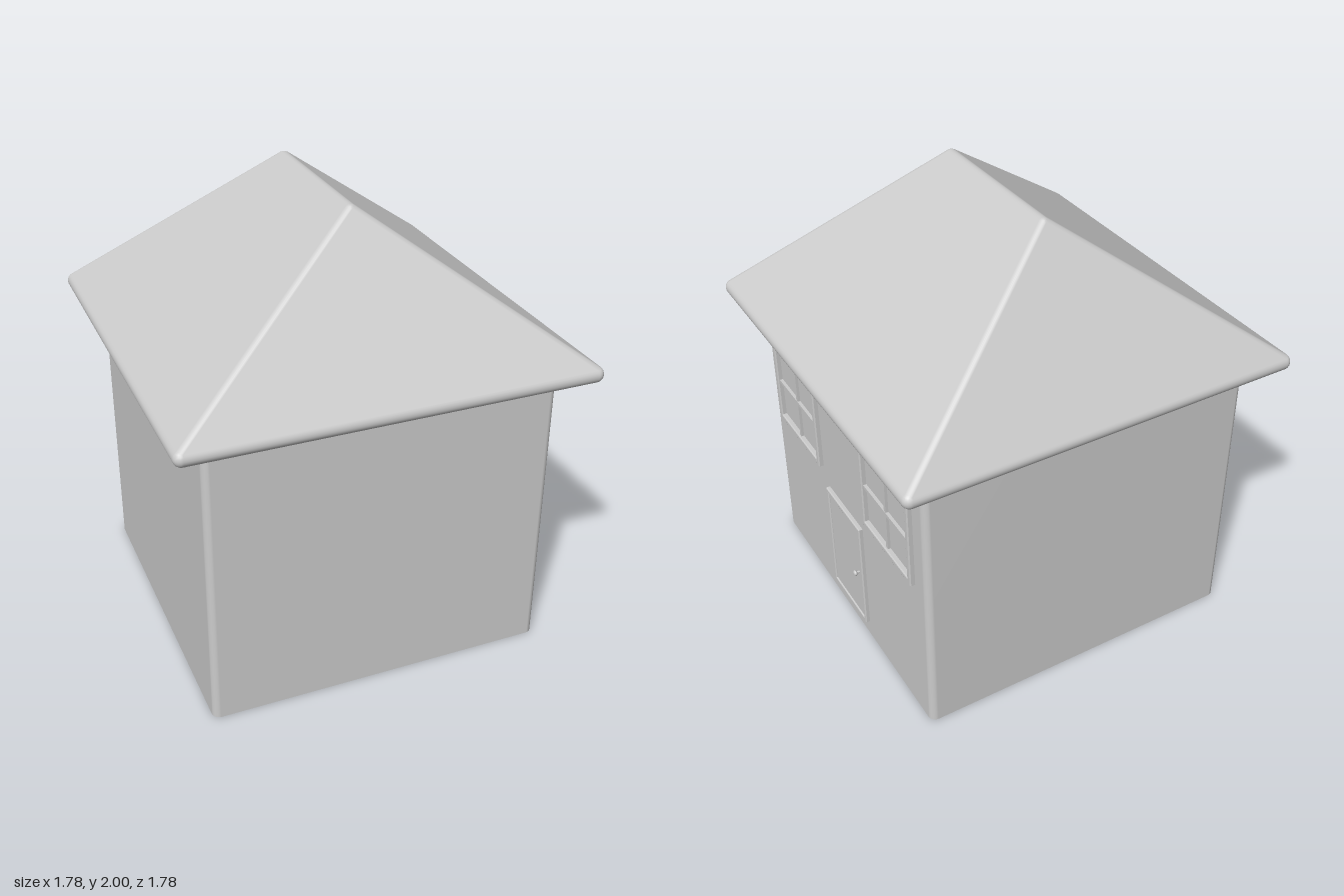
import * as THREE from 'three';
import { mergeVertices } from 'three/addons/utils/BufferGeometryUtils.js';
import { ConvexGeometry } from 'three/addons/geometries/ConvexGeometry.js';

const grey = new THREE.MeshStandardMaterial({ color: 0xcccccc });
const greyDouble = new THREE.MeshStandardMaterial({ color: 0xcccccc, side: THREE.DoubleSide });

function part(name, geometry, parent, x = 0, y = 0, z = 0, material = grey) {
  const mesh = new THREE.Mesh(geometry, material);
  mesh.name = name;
  mesh.position.set(x, y, z);
  parent.add(mesh);
  return mesh;
}

// Weld the vertices and shade smoothly, weighted by face area so large faces stay flat
function smooth(geometry) {
  geometry.deleteAttribute('normal');
  geometry.deleteAttribute('uv');
  const welded = mergeVertices(geometry, 1e-5);
  welded.computeVertexNormals();
  return welded;
}

// Open-bottomed square shell with rounded vertical corners
function wallGeometry(half, height, r) {
  const sides = 28;
  const g = new THREE.CylinderGeometry(r, r, height, sides, 1, true, Math.PI / sides);
  const p = g.attributes.position;
  for (let i = 0; i < p.count; i++) {
    p.setX(i, p.getX(i) + Math.sign(p.getX(i)) * (half - r));
    p.setZ(i, p.getZ(i) + Math.sign(p.getZ(i)) * (half - r));
  }
  return smooth(g);
}

// Hipped roof: hull of small spheres at the eave corners and ridge ends
function roofGeometry(r) {
  const e = 0.855, low = 1.305 + r, high = 2 - r, ridge = 0.357;
  const centres = [[0, high, ridge], [0, high, -ridge]];
  for (const x of [-e, e]) for (const z of [-e, e]) centres.push([x, low, z]);
  const ball = new THREE.SphereGeometry(r, 20, 12).attributes.position;
  const points = [];
  for (const c of centres) {
    for (let i = 0; i < ball.count; i++) {
      points.push(new THREE.Vector3().fromBufferAttribute(ball, i).add(new THREE.Vector3(...c)));
    }
  }
  return smooth(new ConvexGeometry(points));
}

function rectangle(path, w, h) {
  path.moveTo(-w / 2, -h / 2);
  path.lineTo(w / 2, -h / 2);
  path.lineTo(w / 2, h / 2);
  path.lineTo(-w / 2, h / 2);
  path.closePath();
  return path;
}

// Rectangular frame with softened edges, from z = 0 to z = depth
function frameGeometry(w, h, border, depth, bevel) {
  const shape = rectangle(new THREE.Shape(), w - 2 * bevel, h - 2 * bevel);
  const inner = 2 * border - 2 * bevel;
  shape.holes.push(rectangle(new THREE.Path(), w - inner, h - inner));
  return new THREE.ExtrudeGeometry(shape, {
    depth: depth - bevel, bevelSize: bevel, bevelThickness: bevel, bevelSegments: 2,
  });
}

function makeWindow(z) {
  const g = new THREE.Group();
  g.name = 'window';
  const w = 0.44, h = 0.425;
  part('windowFrame', frameGeometry(w, h, 0.027, 0.024, 0.005), g);
  part('verticalBar', new THREE.BoxGeometry(0.016, h - 0.05, 0.016), g, 0, 0, 0.006);
  part('horizontalBar', new THREE.BoxGeometry(w - 0.05, 0.016, 0.02), g, 0, 0, 0.006);
  g.position.set(0.753, 0.927, z);
  g.rotation.y = Math.PI / 2;
  return g;
}

function makeDoor() {
  const g = new THREE.Group();
  g.name = 'door';
  part('doorFrame', frameGeometry(0.335, 0.55, 0.02, 0.021, 0.005), g);
  part('doorPanel', new THREE.BoxGeometry(0.31, 0.52, 0.02), g, 0, 0, 0.004);
  // Knob on a short stem
  const stem = part('knobStem', new THREE.CylinderGeometry(0.006, 0.006, 0.02, 8), g, 0.122, 0, 0.022);
  stem.rotation.x = Math.PI / 2;
  const knob = part('doorKnob', new THREE.SphereGeometry(0.014, 12, 8), g, 0.122, 0, 0.034);
  knob.scale.z = 0.65;
  g.position.set(0.753, 0.355, 0);
  g.rotation.y = Math.PI / 2;
  return g;
}

export function createModel() {
  const house = new THREE.Group();
  house.name = 'house';
  part('walls', wallGeometry(0.755, 1.31, 0.035), house, 0, 0.655, 0, greyDouble);
  part('roof', roofGeometry(0.035), house);
  for (const z of [-0.438, 0.438]) house.add(makeWindow(z));
  house.add(makeDoor());
  return house;
}
